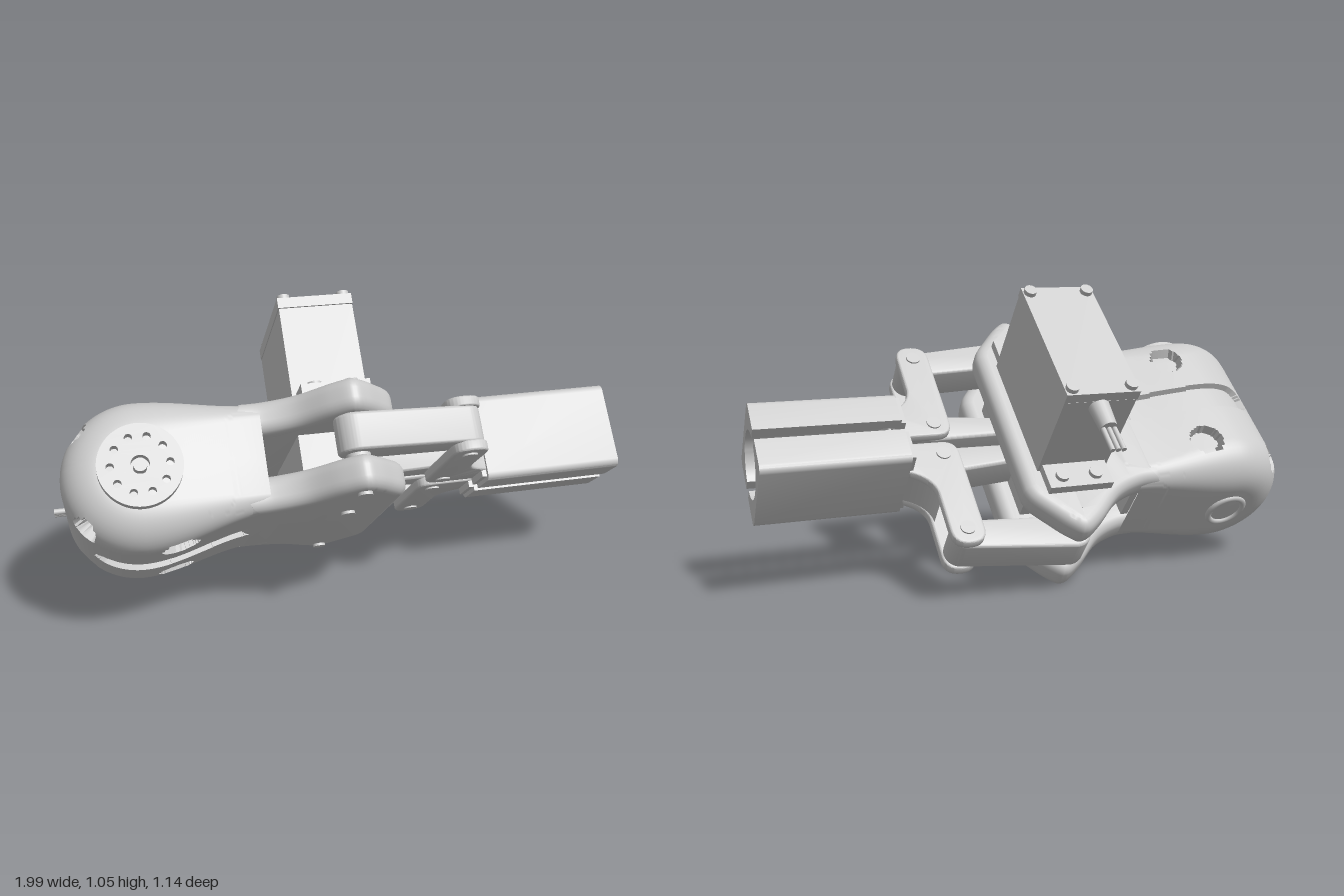
import * as THREE from 'three';
import { toCreasedNormals } from 'three/addons/utils/BufferGeometryUtils.js';

const grey = new THREE.MeshStandardMaterial({ color: 0xcccccc, side: THREE.DoubleSide });

function add(parent, name, geo, x = 0, y = 0, z = 0) {
  const m = new THREE.Mesh(geo, grey);
  m.name = name;
  m.position.set(x, y, z);
  parent.add(m);
  return m;
}
// Box given by its min and max corners
function block(parent, name, a, b) {
  return add(parent, name, new THREE.BoxGeometry(b[0] - a[0], b[1] - a[1], b[2] - a[2]),
    (a[0] + b[0]) / 2, (a[1] + b[1]) / 2, (a[2] + b[2]) / 2);
}
// Upright pin between two heights
function pin(parent, name, r, x, z, y0, y1, sides = 24) {
  return add(parent, name, new THREE.CylinderGeometry(r, r, y1 - y0, sides), x, (y0 + y1) / 2, z);
}
// Plan outline (x, z) made into a slab between two heights
function slab(shape, y0, y1, bevel = 0) {
  const g = new THREE.ExtrudeGeometry(shape, {
    depth: y1 - y0 - 2 * bevel, bevelEnabled: bevel > 0, bevelThickness: bevel,
    bevelSize: bevel, bevelOffset: -bevel, bevelSegments: 5, curveSegments: 20
  });
  g.rotateX(Math.PI / 2).translate(0, y1 - bevel, 0);
  return toCreasedNormals(g, 0.6);
}
function roundHole(x, z, r, n = 24) {
  const pts = [];
  for (let i = 0; i < n; i++) {
    const a = -i / n * Math.PI * 2;
    pts.push(new THREE.Vector2(x + r * Math.cos(a), z + r * Math.sin(a)));
  }
  return new THREE.Path(pts);
}
// Bar with round ends from a to b
function barShape(a, b, ra, rb) {
  const t = Math.atan2(b[1] - a[1], b[0] - a[0]), h = Math.PI / 2;
  const s = new THREE.Shape();
  s.absarc(b[0], b[1], rb, t - h, t + h);
  s.absarc(a[0], a[1], ra, t + h, t + 3 * h);
  s.closePath();
  return s;
}

// Depth of the shallow pockets in the housing skin
function pocket(x, z) {
  const gx = x - Math.min(-0.38, Math.max(-0.82, x)), az = Math.abs(z);
  if (Math.hypot(gx, z) < 0.055) return 0.022;
  if (Math.hypot(x + 0.6, az - 0.2) < 0.058) return 0.035;
  if (Math.hypot((x + 0.9) * 1.6, az - 0.25) < 0.045) return 0.05;
  return 0;
}
// Housing: side profile swept across the width, with rounded ends
function housingGeometry() {
  const AX = -0.71, AY = -0.04, R = 0.25, END = -0.31, rows = [];
  const ease = u => u * u * (3 - 2 * u), NL = 60, NA = 90;
  const straight = (u, top) => {
    const e = ease(u);
    return { x: AX + (END - AX) * u, y: top ? 0.21 - 0.055 * e : -0.29 + 0.08 * e,
      cx: AX + (END - AX) * u, cy: AY + 0.012 * e, w: 0.36 - 0.035 * e, r: 0.14 - 0.08 * e };
  };
  for (let i = 0; i < NL; i++) rows.push(straight(1 - i / NL, true));
  for (let i = 0; i <= NA; i++) {
    const a = Math.PI / 2 + Math.PI * i / NA;
    rows.push({ x: AX + R * Math.cos(a), y: AY + R * Math.sin(a), cx: AX, cy: AY, w: 0.36, r: 0.14 });
  }
  for (let i = 1; i <= NL; i++) rows.push(straight(i / NL, false));
  // columns: [flat fraction, fillet angle, cap]
  const cols = [[-1, -Math.PI / 2, 1]];
  for (let i = 12; i > 0; i--) cols.push([-1, -Math.PI / 2 * i / 12, 0]);
  for (let i = 0; i <= 90; i++) cols.push([-1 + i / 45, 0, 0]);
  for (let i = 1; i <= 12; i++) cols.push([1, Math.PI / 2 * i / 12, 0]);
  cols.push([1, Math.PI / 2, 1]);
  const pos = [], idx = [], C = cols.length;
  rows.forEach((p, i) => cols.forEach(([f, a, cap], j) => {
    const z = f * (p.w - p.r) + p.r * Math.sin(a);
    const len = Math.hypot(p.cx - p.x, p.cy - p.y);
    const inset = cap ? len : p.r * (1 - Math.cos(a)) + (Math.abs(a) < 1.2 ? pocket(p.x, z) : 0);
    const k = inset / len;
    pos.push(p.x + (p.cx - p.x) * k, p.y + (p.cy - p.y) * k, z);
    if (i && j) {
      const d = i * C + j, c = d - 1, b = d - C, q = b - 1;
      idx.push(q, c, b, b, c, d);
    }
  }));
  const g = new THREE.BufferGeometry();
  g.setAttribute('position', new THREE.Float32BufferAttribute(pos, 3));
  g.setIndex(idx);
  return toCreasedNormals(g, 0.6);
}

// Pointed clamp plate outline, mirrored about the centre line
function plateShape(hole) {
  const v = (x, z) => new THREE.Vector2(x, z);
  const half = new THREE.SplineCurve([v(-0.38, 0.32), v(-0.3, 0.325), v(-0.2, 0.365), v(-0.1, 0.455),
    v(-0.03, 0.497), v(0.02, 0.47), v(0.08, 0.405), v(0.125, 0.35), v(0.14, 0.31)]).getPoints(48);
  const s = new THREE.Shape([...half, ...half.slice().reverse().map(p => v(p.x, -p.y))]);
  for (const k of [1, -1]) {
    s.holes.push(roundHole(-0.262, k * 0.255, 0.036, 6));
    if (hole) s.holes.push(roundHole(-0.03, k * 0.42, 0.042));
  }
  return s;
}

// Half of a square jaw with a round hollow, run along x
function jawGeometry(k) {
  const pts = [], put = (w, n) => pts.push(new THREE.Vector2(-k * w, n));
  const c = 0.025, r = 0.118, a0 = Math.acos(0.02 / r);
  put(0.02, -0.155);
  for (const [s, from] of [[-1, -Math.PI / 2], [1, 0]])
    for (let i = 0; i <= 5; i++) {
      const a = from + i / 5 * Math.PI / 2;
      put(0.15 - c + c * Math.cos(a), s * (0.155 - c) + c * Math.sin(a));
    }
  put(0.02, 0.155);
  for (let i = 0; i <= 32; i++) {
    const a = a0 - 2 * a0 * i / 32;
    put(r * Math.cos(a), r * Math.sin(a));
  }
  const g = new THREE.ExtrudeGeometry(new THREE.Shape(pts), { depth: 0.5, bevelEnabled: false });
  g.rotateY(Math.PI / 2).translate(0.492, 0, 0);
  return toCreasedNormals(g, 0.6);
}

function buildFinger(k) {
  const f = new THREE.Group();
  f.name = k > 0 ? 'leftFinger' : 'rightFinger';
  // parallel links
  add(f, 'outerLink', slab(barShape([-0.03, k * 0.425], [0.35, k * 0.39], 0.065, 0.055), -0.085, 0.04, 0.012));
  add(f, 'innerLink', slab(barShape([-0.03, k * 0.06], [0.35, k * 0.075], 0.035, 0.055), -0.085, 0.04, 0.012));
  // forked bracket flaring into the jaw
  const s = new THREE.Shape();
  s.moveTo(0.29, k * 0.075);
  s.lineTo(0.29, k * 0.39);
  s.quadraticCurveTo(0.29, k * 0.45, 0.35, k * 0.45);
  s.quadraticCurveTo(0.41, k * 0.45, 0.41, k * 0.39);
  s.lineTo(0.41, k * 0.24);
  s.quadraticCurveTo(0.415, k * 0.16, 0.52, k * 0.13);
  s.lineTo(0.52, k * 0.015);
  s.lineTo(0.35, k * 0.015);
  s.quadraticCurveTo(0.29, k * 0.015, 0.29, k * 0.075);
  add(f, 'forkTop', slab(s, 0.035, 0.07, 0.008));
  add(f, 'forkBottom', slab(s, -0.117, -0.08, 0.008));
  const n = new THREE.Shape();
  n.moveTo(0.4, k * 0.02);
  n.lineTo(0.4, k * 0.25);
  n.quadraticCurveTo(0.41, k * 0.16, 0.52, k * 0.13);
  n.lineTo(0.52, k * 0.02);
  add(f, 'neck', slab(n, -0.1, 0.055));
  for (const w of [0.39, 0.07]) pin(f, 'linkPin', 0.026, 0.35, k * w, -0.123, 0.076);
  pin(f, 'pivotPin', 0.04, -0.03, k * 0.42, -0.18, 0.11);
  // gripping jaw with back wall
  add(f, 'jaw', jawGeometry(k));
  block(f, 'jawBackWall', [0.475, -0.14, Math.min(k * 0.02, k * 0.135)], [0.51, 0.14, Math.max(k * 0.02, k * 0.135)]);
  return f;
}

function buildServo() {
  const s = new THREE.Group();
  s.name = 'servo';
  block(s, 'servoCase', [-0.18, -0.09, -0.25], [0.08, 0.5, 0.25]);
  block(s, 'servoLid', [-0.182, 0.503, -0.252], [0.082, 0.54, 0.252]);
  block(s, 'servoLidSeam', [-0.175, 0.49, -0.245], [0.075, 0.51, 0.245]);
  block(s, 'servoEars', [-0.165, 0.15, -0.35], [0.07, 0.19, 0.35]);
  for (const k of [1, -1]) {
    for (const x of [-0.155, 0.057]) pin(s, 'lidScrew', 0.022, x, k * 0.225, 0.53, 0.556);
    for (const x of [-0.11, 0.015]) pin(s, 'earScrew', 0.024, x, k * 0.305, 0.18, 0.205);
  }
  // cable sleeve and wires
  add(s, 'cableSleeve', new THREE.CylinderGeometry(0.03, 0.036, 0.1, 20), -0.05, 0.475, -0.295).rotation.x = -Math.PI / 2;
  for (const x of [-0.07, -0.05, -0.03])
    add(s, 'wire', new THREE.CylinderGeometry(0.009, 0.009, 0.1, 10), x, 0.475, -0.385).rotation.x = Math.PI / 2;
  return s;
}

export function createModel() {
  const model = new THREE.Group();
  const g = new THREE.Group();
  g.name = 'gripper';
  g.rotation.x = -40 * Math.PI / 180;
  g.position.set(0, 0.455, 0.07);
  model.add(g);

  add(g, 'wristHousing', housingGeometry());
  block(g, 'housingFrontWall', [-0.34, -0.19, -0.29], [-0.312, 0.135, 0.29]);
  add(g, 'upperPlate', slab(plateShape(true), 0.045, 0.158, 0.04));
  add(g, 'lowerPlate', slab(plateShape(false), -0.212, -0.095, 0.04));
  for (const w of [0.43, 0.15, -0.43]) pin(g, 'plateScrew', 0.024, -0.03, w, -0.222, -0.19);

  // drive disc with a ring of holes
  const disc = new THREE.Shape();
  disc.absarc(0, 0, 0.133, 0, Math.PI * 2);
  disc.holes.push(roundHole(0, 0, 0.03));
  for (let i = 0; i < 10; i++) {
    const a = i * Math.PI / 5;
    disc.holes.push(roundHole(0.092 * Math.cos(a), 0.092 * Math.sin(a), 0.013, 12));
  }
  add(g, 'driveDisc', toCreasedNormals(new THREE.ExtrudeGeometry(disc,
    { depth: 0.035, bevelEnabled: false, curveSegments: 48 }), 0.6), -0.71, -0.04, 0.37);
  add(g, 'driveScrew', new THREE.CylinderGeometry(0.022, 0.022, 0.04, 16), -0.71, -0.04, 0.385).rotation.x = Math.PI / 2;
  add(g, 'bearingRing', new THREE.TorusGeometry(0.07, 0.012, 10, 40), -0.71, -0.04, -0.358);

  // wires leaving the rear of the wrist
  for (const w of [-0.15, -0.13, -0.11])
    add(g, 'rearWire', new THREE.CylinderGeometry(0.01, 0.01, 0.08, 10), -0.96, -0.043, w).rotation.z = Math.PI / 2;

  g.add(buildServo(), buildFinger(1), buildFinger(-1));
  return model;
}
